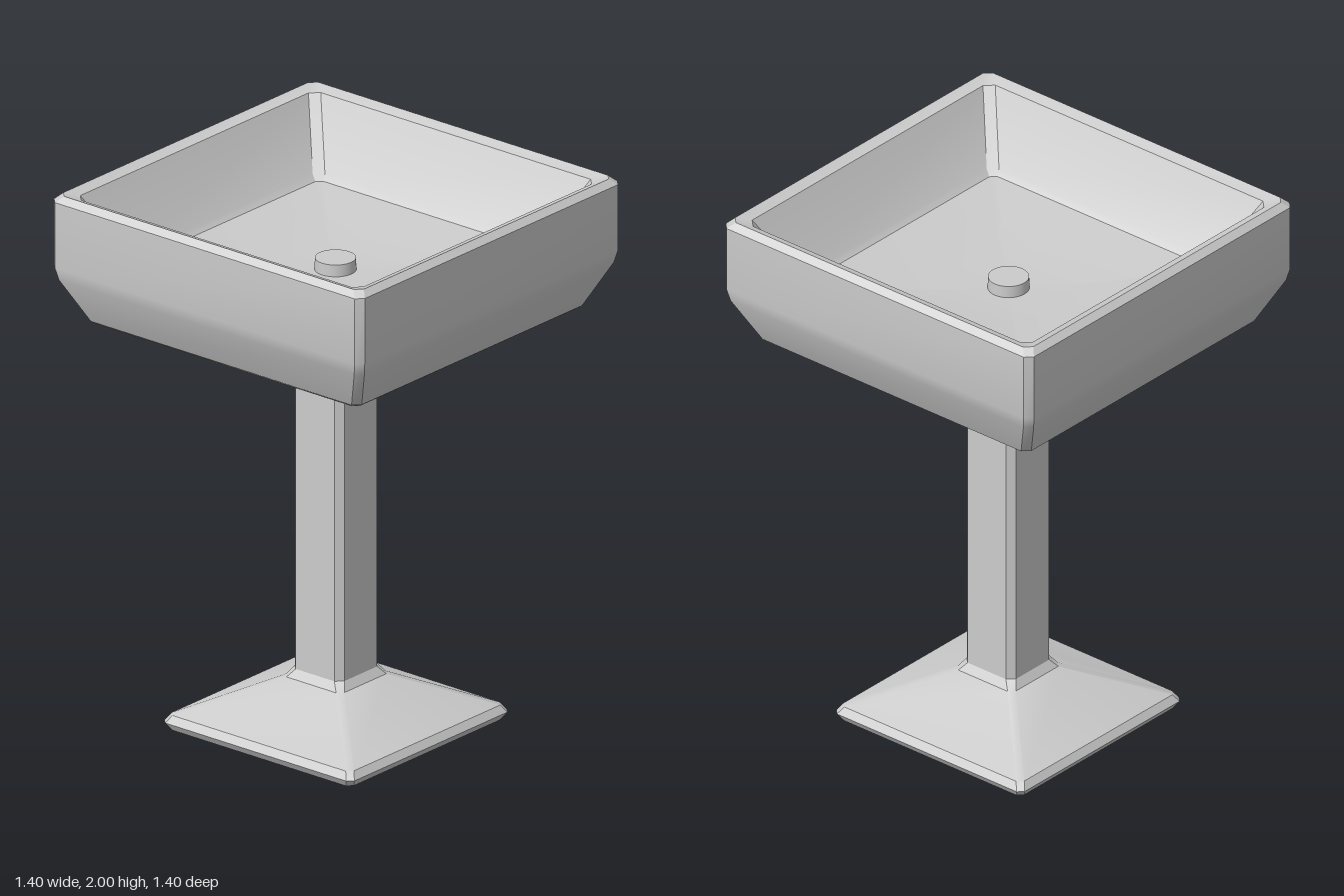
import * as THREE from 'three';
import { toCreasedNormals } from 'three/addons/utils/BufferGeometryUtils.js';

const material = new THREE.MeshStandardMaterial({ color: 0xcccccc });

// Square outline of half-width h with corners cut by c, at height y
function squareRing([h, y, c]) {
  const k = h - Math.min(c, h);
  return [[h, -k], [h, k], [k, h], [-k, h], [-h, k], [-h, -k], [-k, -h], [k, -h]]
    .map(([x, z]) => new THREE.Vector3(x, y, z));
}

// Skin a list of [halfWidth, height, cornerCut] sections; zero width closes an end
function loftSquares(name, sections) {
  const rings = sections.map(squareRing);
  const points = [];
  const addTriangle = (a, b, c) => {
    const normal = b.clone().sub(a).cross(c.clone().sub(a));
    if (normal.length() > 1e-8) points.push(a, b, c);
  };
  for (let i = 0; i < rings.length - 1; i++) {
    for (let j = 0; j < 8; j++) {
      const n = (j + 1) % 8;
      addTriangle(rings[i][j], rings[i + 1][j], rings[i][n]);
      addTriangle(rings[i][n], rings[i + 1][j], rings[i + 1][n]);
    }
  }
  const geometry = toCreasedNormals(new THREE.BufferGeometry().setFromPoints(points), 0.5);
  const mesh = new THREE.Mesh(geometry, material);
  mesh.name = name;
  return mesh;
}

export function createModel() {
  const group = new THREE.Group();
  group.name = 'pedestalSink';

  // Bowl: underside, outer wall, rim, inner wall, then the shallow floor
  group.add(loftSquares('basin', [
    [0, 1.515, 0], [0.587, 1.515, 0.02], [0.612, 1.532, 0.025],
    [0.69, 1.69, 0.025], [0.7, 1.735, 0.025], [0.7, 1.978, 0.025],
    [0.677, 2, 0.025], [0.638, 1.985, 0.03], [0.515, 1.755, 0.03],
    [0.495, 1.735, 0.02], [0.2, 1.695, 0.01], [0, 1.69, 0],
  ]));

  // Drain plug
  const drain = new THREE.Mesh(
    toCreasedNormals(new THREE.CylinderGeometry(0.071, 0.073, 0.06, 32), 0.5), material);
  drain.name = 'drain';
  drain.position.set(-0.003, 1.705, 0);
  group.add(drain);

  // Column with a flared collar under the bowl
  group.add(loftSquares('column', [
    [0, 0.18, 0], [0.112, 0.18, 0.025], [0.112, 1.487, 0.025],
    [0.137, 1.517, 0.025], [0, 1.517, 0],
  ]));

  // Sloping foot
  group.add(loftSquares('base', [
    [0, 0, 0], [0.41, 0, 0.02], [0.428, 0.028, 0.02], [0.41, 0.055, 0.02],
    [0.132, 0.185, 0.02], [0.112, 0.215, 0.025], [0, 0.215, 0],
  ]));

  return group;
}
